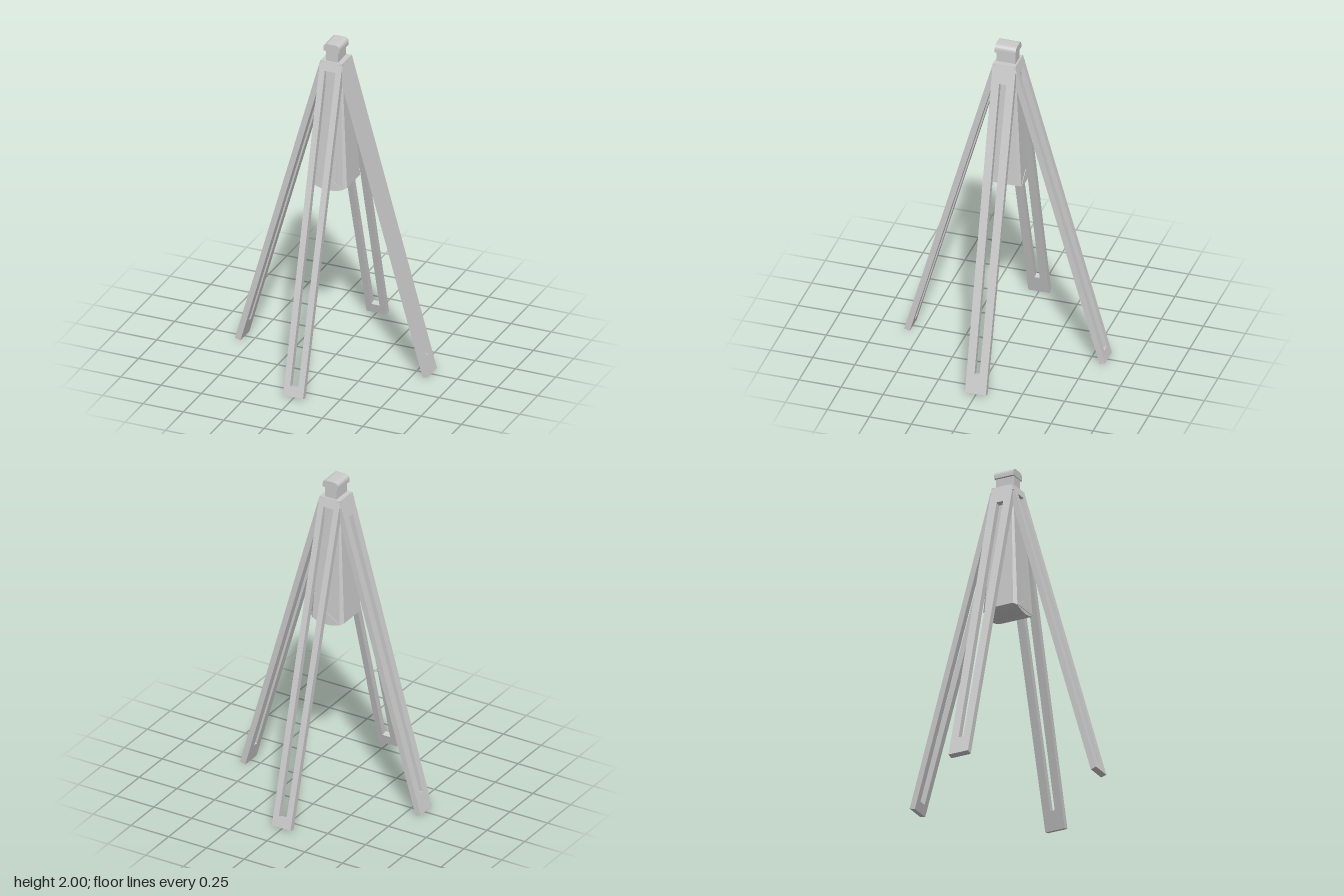
import * as THREE from 'three';

const material = new THREE.MeshStandardMaterial({ color: 0xcccccc, flatShading: true, side: THREE.DoubleSide });

function part(name, geometry, parent) {
  const mesh = new THREE.Mesh(geometry, material);
  mesh.name = name;
  parent.add(mesh);
  return mesh;
}

const polygon = (points) => points.map(([x, y]) => new THREE.Vector2(x, y));

// Flat tapered leg with a long tapered slot; the foot is at the local origin
function legGeometry(slotFrom, slotTo, slotFoot, slotTop) {
  const length = 1.954;
  const shape = new THREE.Shape(polygon([[-0.062, 0], [0.062, 0], [0.069, length], [-0.069, length]]));
  shape.holes.push(new THREE.Path(polygon([
    [-slotFoot, slotFrom], [-slotTop, slotTo], [slotTop, slotTo], [slotFoot, slotFrom],
  ])));
  const g = new THREE.ExtrudeGeometry(shape, { depth: 0.035, bevelEnabled: false });
  g.translate(0, 0, -0.035);
  g.rotateX(-0.275);
  g.translate(0, 0.0095, 0.598);
  return g;
}

// Arch outline: straight sides with rounded shoulders
function archShape(half, bottom, top, r) {
  const s = new THREE.Shape();
  s.moveTo(-half, bottom);
  s.lineTo(half, bottom);
  s.lineTo(half, top - r);
  s.quadraticCurveTo(half, top, half - r, top);
  s.lineTo(-half + r, top);
  s.quadraticCurveTo(-half, top, -half, top - r);
  s.closePath();
  return s;
}

function extrudeCentred(shape, depth) {
  const g = new THREE.ExtrudeGeometry(shape, { depth, bevelEnabled: false, curveSegments: 6 });
  g.translate(0, 0, -depth / 2);
  return g;
}

// Tapered body with chamfered corners and a belly curved across x
function bodyGeometry() {
  const n = 8;
  const section = (half, chamfer, y, bow) => {
    const ring = [];
    const put = (x, z) => ring.push([x, y - bow * (1 - (x / half) ** 2), z]);
    const a = half - chamfer;
    for (let i = 0; i <= n; i++) put(-a + (2 * a * i) / n, half);
    put(half, a);
    put(half, -a);
    for (let i = 0; i <= n; i++) put(a - (2 * a * i) / n, -half);
    put(-half, -a);
    put(-half, a);
    return ring;
  };
  const low = section(0.109, 0.018, 1.125, 0.028);
  const high = section(0.064, 0.008, 1.87, 0);
  const count = low.length;
  const index = [];
  for (let i = 0; i < count; i++) {
    const j = (i + 1) % count;
    index.push(i, j, count + j, i, count + j, count + i);
  }
  // Belly strips joining the front edge to the back edge
  const back = (i) => 2 * n + 3 - i;
  for (let i = 0; i < n; i++) index.push(i, back(i), back(i + 1), i, back(i + 1), i + 1);
  index.push(n, back(n), n + 2, n, n + 2, n + 1);
  index.push(0, count - 1, count - 2, 0, count - 2, back(0));
  const g = new THREE.BufferGeometry();
  g.setAttribute('position', new THREE.Float32BufferAttribute([...low, ...high].flat(), 3));
  g.setIndex(index);
  const flat = g.toNonIndexed();
  flat.computeVertexNormals();
  return flat;
}

export function createModel() {
  const model = new THREE.Group();
  model.name = 'fourLeggedStand';

  // Legs: front and back have wider slots than the two at the sides
  const wide = legGeometry(0.06, 1.90, 0.025, 0.033);
  const narrow = legGeometry(0.115, 1.84, 0.015, 0.021);
  ['frontLeg', 'leftLeg', 'backLeg', 'rightLeg'].forEach((name, i) => {
    part(name, i % 2 ? narrow : wide, model).rotation.y = (i * Math.PI) / 2;
  });

  // Hanging body with a shallow gable on its front and back
  part('body', bodyGeometry(), model);
  const gable = new THREE.Shape(polygon([[-0.088, 0], [0.088, 0], [0, 0.058]]));
  for (const [name, turn] of [['frontGable', 0], ['backGable', Math.PI]]) {
    const g = new THREE.ExtrudeGeometry(gable, { depth: 0.004, bevelEnabled: false });
    g.rotateX(-0.06);
    g.translate(0, 1.12, 0.107);
    part(name, g, model).rotation.y = turn;
  }

  // Hub plate where the legs meet, with a sloping rim
  const hub = new THREE.CylinderGeometry(0.066 * Math.SQRT2, 0.076 * Math.SQRT2, 0.04, 4);
  hub.rotateY(Math.PI / 4);
  hub.translate(0, 1.872, 0);
  part('hub', hub, model);

  // Neck and the arched hood over it
  part('neck', extrudeCentred(archShape(0.037, 1.88, 1.985, 0.02), 0.114), model);
  const hood = archShape(0.051, 1.955, 2.0, 0.028);
  part('hood', extrudeCentred(hood, 0.125), model);

  return model;
}
